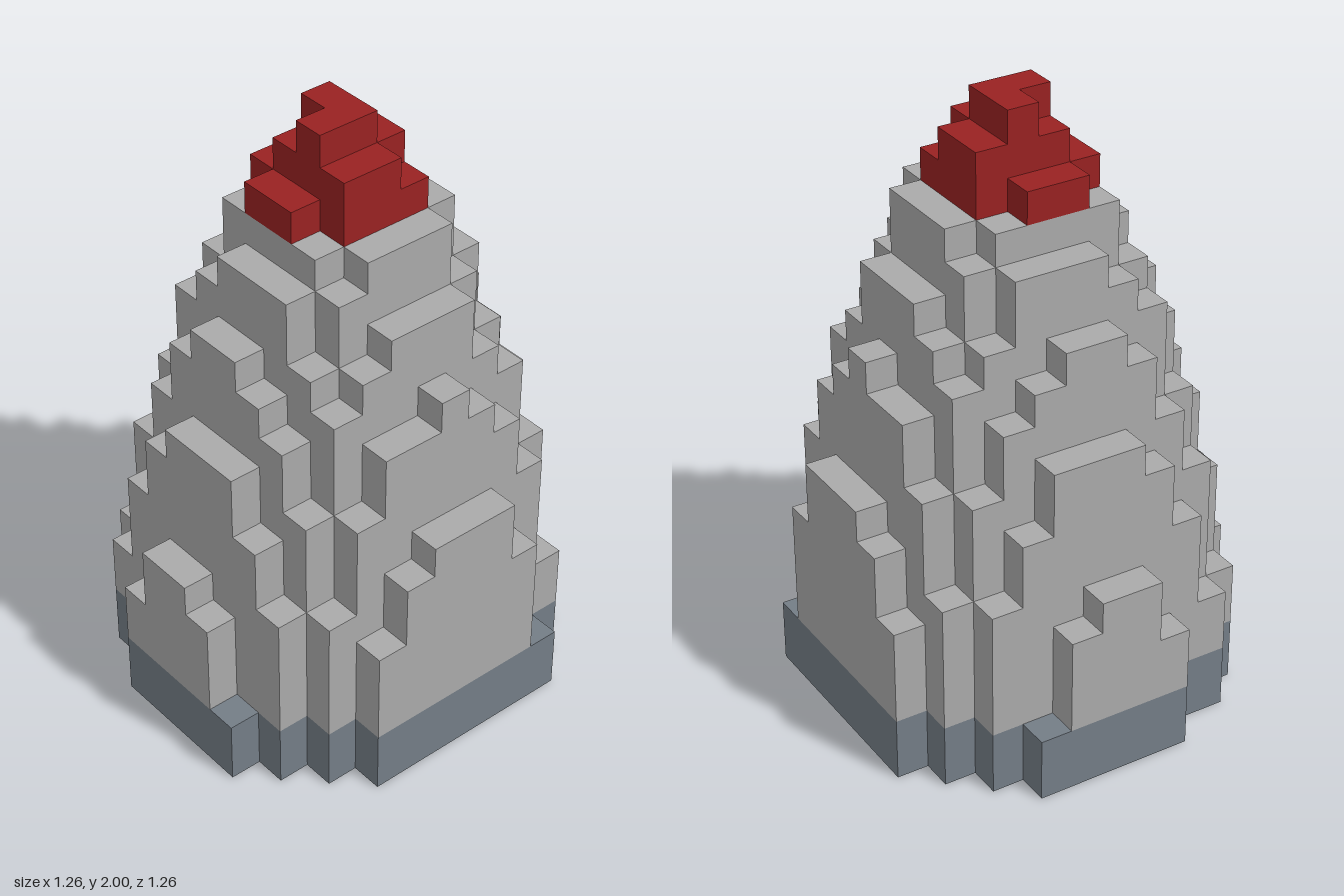
import * as THREE from 'three';
import { mergeGeometries } from 'three/addons/utils/BufferGeometryUtils.js';

const U = 2 / 19; // block size
const HALF = 6; // blocks from the middle to the rim
const CENTRE = 0.25; // the round plan sits slightly off the block grid

// Radius of each block layer, from the tip downwards
const RADII = [0.95, 1.55, 2.05, 2.6, 3.07, 3.5, 3.9, 4.287, 4.637, 4.937,
  5.21, 5.46, 5.66, 5.84, 5.97, 6.07, 6.14, 6.25, 6.25];

// Height in blocks of the column at grid cell (i, k)
function columnHeight(i, k) {
  const d = Math.hypot(i + 0.5 - CENTRE, k + 0.5 - CENTRE);
  const n = RADII.findIndex((r) => d <= r);
  return n < 0 ? 0 : RADII.length - n;
}

// Exposed block faces between two levels
function blockBand(y0, y1) {
  const faces = [];
  const level = (i, k, y, tilt) => faces.push(new THREE.PlaneGeometry(U, U)
    .rotateX(tilt).translate((i + 0.5) * U, y * U, (k + 0.5) * U));

  for (let i = -HALF; i < HALF; i++) {
    for (let k = -HALF; k < HALF; k++) {
      const h = columnHeight(i, k);
      if (h <= y0) continue;
      if (h <= y1) level(i, k, h, -Math.PI / 2);
      if (y0 === 0) level(i, k, 0, Math.PI / 2);
      // Side walls rise above each lower neighbour
      for (let s = 0; s < 4; s++) {
        const a = s * Math.PI / 2;
        const dx = Math.round(Math.sin(a));
        const dz = Math.round(Math.cos(a));
        const low = Math.max(columnHeight(i + dx, k + dz), y0);
        const high = Math.min(h, y1);
        if (high <= low) continue;
        faces.push(new THREE.PlaneGeometry(U, (high - low) * U).rotateY(a)
          .translate((i + 0.5 + dx / 2) * U, (low + high) / 2 * U, (k + 0.5 + dz / 2) * U));
      }
    }
  }
  return mergeGeometries(faces);
}

export function createModel() {
  const model = new THREE.Group();
  model.name = 'blockNoseCone';
  const bands = [
    ['baseRing', 0, 2, 'slate', 0x747d86],
    ['coneBody', 2, 16, 'grey', 0xaaaaaa],
    ['tip', 16, 19, 'red', 0x992222],
  ];
  for (const [name, y0, y1, colourName, color] of bands) {
    const material = new THREE.MeshStandardMaterial({ color });
    material.name = colourName;
    const mesh = new THREE.Mesh(blockBand(y0, y1), material);
    mesh.name = name;
    model.add(mesh);
  }
  return model;
}
